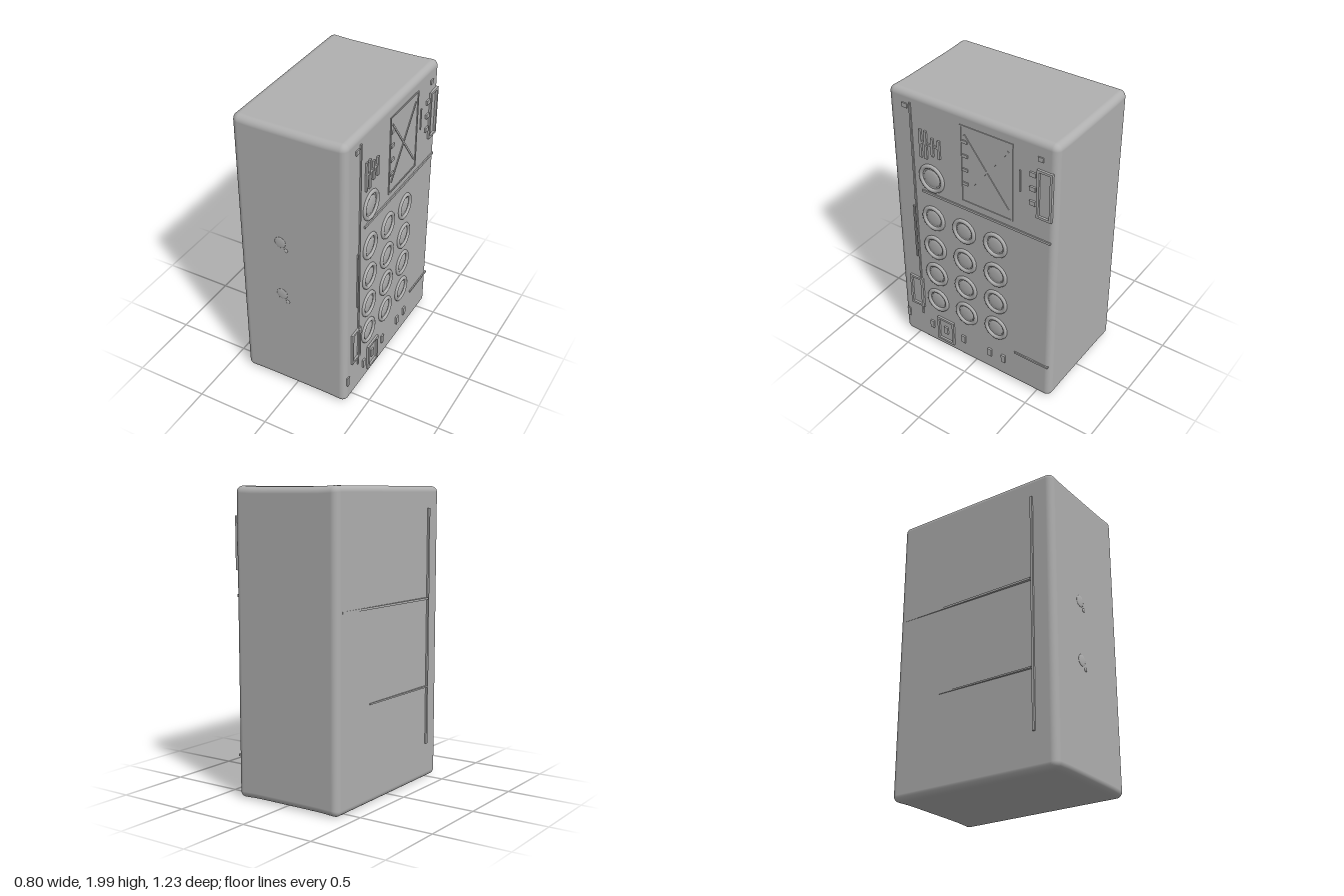
import * as THREE from 'three';

const shell = new THREE.MeshStandardMaterial({ color: 0xb0b0b0 });
shell.name = 'plain grey';

function add(parent, name, geometry, x, y, z) {
  const m = new THREE.Mesh(geometry, shell);
  m.name = name;
  m.position.set(x, y, z);
  parent.add(m);
  return m;
}

// Rounded casing with slightly dished ends and a faint taper
function casingGeometry(hx, hy, hz, r) {
  const n = 16, k = 4;
  const g = new THREE.BoxGeometry(2, 2, 2, n, n, n);
  const p = g.attributes.position, nor = g.attributes.normal;
  const spread = (t, h) => {
    const i = Math.round((t + 1) * n / 2);
    if (i <= k) return -h + r * i / k;
    if (i >= n - k) return h - r * (n - i) / k;
    return (h - r) * (2 * (i - k) / (n - 2 * k) - 1);
  };
  const v = new THREE.Vector3(), c = new THREE.Vector3();
  const inner = new THREE.Vector3(hx - r, hy - r, hz - r);
  const low = inner.clone().negate();
  for (let i = 0; i < p.count; i++) {
    v.set(spread(p.getX(i), hx), spread(p.getY(i), hy), spread(p.getZ(i), hz));
    c.copy(v).clamp(low, inner);
    v.sub(c).normalize();
    nor.setXYZ(i, v.x, v.y, v.z);
    c.addScaledVector(v, r);
    const dish = 0.012 * (1 - Math.pow(Math.abs(c.x / hx), 6));
    c.y *= 1 - dish * Math.pow(Math.abs(c.y / hy), 3);
    if (c.x < 0) c.x += 0.01 * c.z / hz * Math.abs(c.x / hx);
    p.setXYZ(i, c.x, c.y, c.z);
  }
  return g;
}

export function createModel() {
  const root = new THREE.Group();
  root.name = 'cabinet';
  add(root, 'casing', casingGeometry(0.385, 1, 0.61, 0.045), -0.01, 1, 0);

  // Control panel: local x runs towards the back, local z points outwards
  const panel = new THREE.Group();
  panel.name = 'controlPanel';
  panel.rotation.y = Math.PI / 2;
  panel.position.x = 0.375;
  root.add(panel);

  const bar = (name, z, y, w, h, out = 0.008, angle = 0) => {
    const m = add(panel, name, new THREE.BoxGeometry(w, h, out * 2), -z, y, 0);
    m.rotation.z = angle;
    return m;
  };
  const frame = (name, z0, z1, y0, y1, t = 0.016, out = 0.014) => {
    const zc = (z0 + z1) / 2, yc = (y0 + y1) / 2, w = z1 - z0, h = y1 - y0;
    for (const s of [-1, 1]) {
      bar(name + 'Side', zc + s * (w - t) / 2, yc, t, h, out);
      bar(name + 'End', zc, yc + s * (h - t) / 2, w, t, out);
    }
  };
  const button = (name, z, y, r) => {
    const ring = add(panel, name + 'Ring', new THREE.TorusGeometry(r, 0.014, 8, 20), -z, y, 0.001);
    ring.scale.y = 1.05;
    const cap = add(panel, name + 'Cap', new THREE.SphereGeometry(r * 0.75, 16, 8), -z, y, 0);
    cap.scale.z = 0.15;
  };

  // Keypad and dial
  for (const z of [0.3, 0.06, -0.18])
    for (const y of [1.12, 0.88, 0.65, 0.42]) button('button', z, y, 0.076);
  button('dial', 0.3, 1.43, 0.085);

  // Panel seams
  bar('sideRail', 0.44, 1.08, 0.012, 1.7);
  bar('railInset', 0.46, 0.95, 0.01, 0.42);
  bar('upperSeam', -0.1, 1.31, 0.96, 0.016);
  bar('lowerSeam', -0.46, 0.28, 0.26, 0.014);

  // Raised frames
  frame('slot', 0.42, 0.53, 0.3, 0.55);
  frame('socket', 0.17, 0.31, 0.07, 0.27);
  frame('vent', -0.585, -0.48, 1.47, 1.81);
  frame('window', -0.31, 0.07, 1.36, 1.91, 0.01, 0.005);
  bar('windowBrace', -0.12, 1.64, 0.012, 0.52, 0.005, 0.65);
  bar('windowBrace', -0.12, 1.64, 0.012, 0.52, 0.005, -0.65);
  bar('windowMark', -0.36, 1.68, 0.01, 0.15, 0.006);
  for (const y of [1.5, 1.6, 1.7, 1.8]) bar('windowTab', 0.035, y, 0.04, 0.02);

  // Small switches
  for (const z of [0.37, 0.33, 0.28, 0.23]) bar('toggle', z, 1.67, 0.018, z > 0.3 ? 0.2 : 0.13, 0.012);
  bar('toggleBridge', 0.3, 1.68, 0.16, 0.014, 0.01);
  for (const y of [1.56, 1.66, 1.76]) bar('ventTab', -0.45, y, 0.04, 0.03, 0.012);
  for (const z of [0.36, 0.24, 0.09, -0.13, -0.24]) bar('lowerSwitch', z, 0.17, 0.03, 0.06, 0.012);
  bar('cornerMark', 0.57, 0.18, 0.025, 0.07);
  bar('cornerMark', 0.48, 1.9, 0.04, 0.03);
  bar('cornerMark', -0.5, 1.88, 0.035, 0.03);

  // Seams on the opposite side
  const rear = [
    [-0.05, 1.25, 1.0, 0.014], [0.1, 0.65, 0.7, 0.01],
    [0.46, 1.05, 0.016, 1.6],
  ];
  for (const [z, y, w, h] of rear)
    add(root, 'farSideSeam', new THREE.BoxGeometry(0.026, h, w), -0.392 + 0.012 * z, y, z);

  // Pegs on the narrow front
  for (const y of [1.13, 0.72]) {
    const peg = add(root, 'frontPeg', new THREE.SphereGeometry(0.014, 10, 6), -0.04, y, 0.61);
    peg.scale.z = 0.5;
    const pad = add(root, 'frontPad', new THREE.SphereGeometry(0.04, 12, 6), -0.08, y + 0.05, 0.61);
    pad.scale.z = 0.12;
  }
  return root;
}
